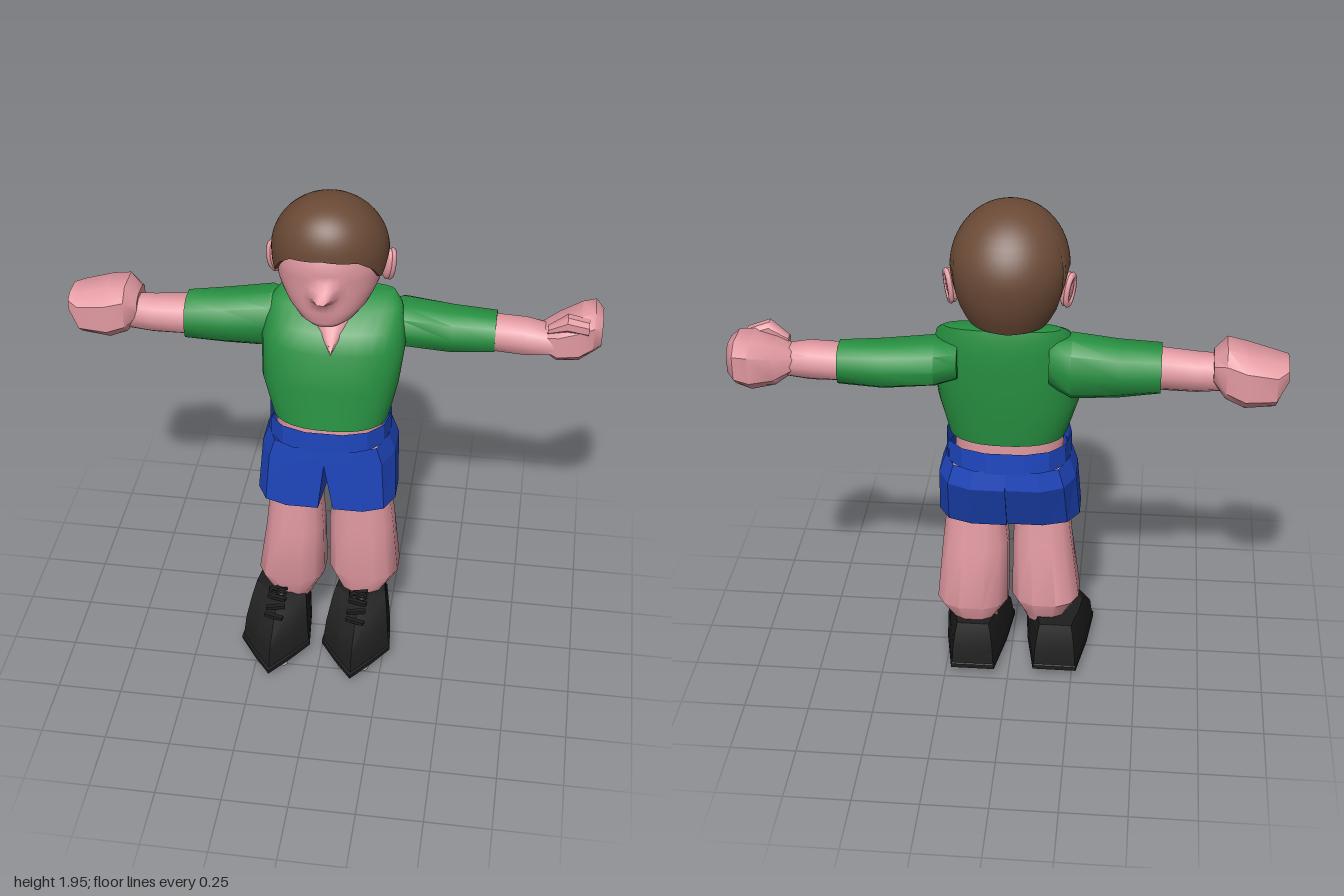
import * as THREE from 'three';
import { toCreasedNormals } from 'three/addons/utils/BufferGeometryUtils.js';

const mat = (name, color, extra = {}) => {
  const m = new THREE.MeshStandardMaterial({ color, ...extra });
  m.name = name;
  return m;
};

// Skins a stack of closed rings (arrays of [x, y, z]); caps close both ends.
function loft(rings, { crease = 0.7, caps = true } = {}) {
  const n = rings[0].length, pos = rings.flat(2), idx = [];
  for (let i = 0; i < rings.length - 1; i++) {
    for (let j = 0; j < n; j++) {
      const a = i * n + j, b = i * n + (j + 1) % n;
      idx.push(a, b, b + n, a, b + n, a + n);
    }
  }
  if (caps) {
    [0, rings.length - 1].forEach((r, end) => {
      const c = pos.length / 3;
      for (let k = 0; k < 3; k++) pos.push(rings[r].reduce((s, p) => s + p[k], 0) / n);
      for (let j = 0; j < n; j++) {
        const a = r * n + j, b = r * n + (j + 1) % n;
        end ? idx.push(c, a, b) : idx.push(c, b, a);
      }
    });
  }
  const g = new THREE.BufferGeometry();
  g.setAttribute('position', new THREE.Float32BufferAttribute(pos, 3));
  g.setIndex(idx);
  g.computeVertexNormals();
  return toCreasedNormals(g, crease);
}

const round = (v, p) => Math.sign(v) * Math.abs(v) ** p;

// Oval rings stacked upward: [y, xMin, xMax, zMin, zMax]
const upright = (rows, n, p = 1) => rows.map(([y, x0, x1, z0, z1]) =>
  Array.from({ length: n }, (_, j) => {
    const a = (j + 0.5) / n * Math.PI * 2;
    return [(x0 + x1) / 2 + (x1 - x0) / 2 * round(Math.sin(a), p), y,
      (z0 + z1) / 2 + (z1 - z0) / 2 * round(Math.cos(a), p)];
  }));

// Oval rings stacked toward +x: [x, yMin, yMax, zMin, zMax]
const sideways = (rows, n, p = 1) => rows.map(([x, y0, y1, z0, z1]) =>
  Array.from({ length: n }, (_, j) => {
    const a = (j + 0.5) / n * Math.PI * 2;
    return [x, (y0 + y1) / 2 + (y1 - y0) / 2 * round(Math.cos(a), p),
      (z0 + z1) / 2 + (z1 - z0) / 2 * round(Math.sin(a), p)];
  }));

export function createModel() {
  const model = new THREE.Group();
  const skin = mat('skin', 0xe39aa2);
  const hairBrown = mat('hair brown', 0x6b4a36, { side: THREE.DoubleSide });
  const green = mat('shirt green', 0x279041);
  const blue = mat('shorts blue', 0x1e46bd, { side: THREE.DoubleSide });
  const black = mat('shoe black', 0x1e1e1e);
  const silver = mat('stud silver', 0xb8b8b8);
  const add = (name, geo, material, parent = model) => {
    const m = new THREE.Mesh(geo, material);
    m.name = name;
    parent.add(m);
    return m;
  };

  // Head, with the nose drawn out of the face
  const headRings = upright([
    [1.495, -.06, .06, -.04, .06], [1.515, -.1, .1, -.1, .07], [1.56, -.145, .145, -.18, .074],
    [1.6, -.167, .167, -.21, .077], [1.62, -.176, .176, -.225, .078], [1.642, -.185, .185, -.24, .08],
    [1.67, -.19, .19, -.25, .082], [1.69, -.194, .194, -.26, .085],
    [1.72, -.197, .197, -.27, .088], [1.82, -.17, .17, -.25, .085], [1.88, -.1, .1, -.2, 0]], 48);
  for (const p of headRings.flat()) {
    if (p[2] > 0) p[2] += 0.095 * Math.max(0, 1 - Math.abs(p[0]) / 0.06) * Math.max(0, 1 - Math.abs(p[1] - 1.642) / 0.048);
  }
  add('head', loft(headRings, { crease: 1.4 }), skin);
  add('neck', loft(upright([
    [1.37, .015, .025, -.03, .054], [1.42, -.03, .065, -.1, .026], [1.48, -.085, .1, -.2, -.02],
    [1.52, -.08, .08, -.18, -.04], [1.58, -.08, .08, -.17, -.03]], 20)), skin);

  // Ears
  for (const s of [1, -1]) {
    const ear = new THREE.Group();
    ear.name = s > 0 ? 'leftEar' : 'rightEar';
    ear.position.set(s * 0.205, 1.66, -0.14);
    ear.rotation.set(0.15, s * 0.35, -s * 0.15);
    model.add(ear);
    add('earBody', new THREE.SphereGeometry(1, 14, 10), skin, ear).scale.set(0.02, 0.065, 0.035);
    const rim = add('earRim', new THREE.TorusGeometry(0.042, 0.011, 6, 18), skin, ear);
    rim.rotation.y = Math.PI / 2;
    rim.scale.set(0.7, 1.3, 1);
    rim.position.x = s * 0.012;
  }

  // Hair: a dome, fuller at the front, whose hem height follows the angle from front to back
  const hem = [[0, 1.79], [.6, 1.775], [.9, 1.73], [1.18, 1.665], [1.4, 1.72], [1.6, 1.745], [1.8, 1.735],
    [1.95, 1.68], [2.02, 1.58], [2.2, 1.535], [3.15, 1.525]];
  const hemAt = (a) => {
    const k = Math.max(1, hem.findIndex((h) => h[0] >= a));
    const [a0, y0] = hem[k - 1], [a1, y1] = hem[k];
    return y0 + (y1 - y0) * (a - a0) / (a1 - a0);
  };
  const hairRings = [], cols = 72, steps = 16;
  for (let i = -1; i <= steps; i++) {
    hairRings.push(Array.from({ length: cols }, (_, j) => {
      const a = j / cols * Math.PI * 2, low = hemAt(Math.min(a, Math.PI * 2 - a));
      const f = Math.max(i, 0) / steps;
      const y = low + (1.952 - low) * Math.sin(f * Math.PI / 2), d = (y - 1.735) / 0.217;
      const e = 2 + 0.3 * Math.max(0, Math.cos(a));
      let r = d > 0 ? Math.max(0, 1 - d ** e) ** (1 / e) : 1 - 0.3 * d * d;
      if (i < 0) r *= 0.85;
      return [0.214 * r * Math.sin(a), y, -0.105 + 0.028 * Math.max(0, d) + 0.208 * r * Math.cos(a)];
    }));
  }
  add('hair', loft(hairRings, { caps: false, crease: 1 }), hairBrown);

  // Shirt body
  add('shirt', loft(upright([
    [1.05, -.21, .23, -.22, .085], [1.2, -.255, .265, -.24, .065], [1.36, -.255, .285, -.245, .045],
    [1.43, -.24, .275, -.245, .005], [1.49, -.225, .262, -.24, -.07], [1.525, -.19, .23, -.23, -.14]],
  28, 0.85), { crease: 0.9 }), green);
  add('waist', loft(upright([[.95, -.2, .21, -.2, .08], [1.052, -.2, .21, -.2, .075]], 20)), skin);

  // Arms: sleeve, forearm and fist, each listed toward +x
  const arms = {
    right: {
      sleeve: [[-.55, 1.28, 1.46, -.25, -.065], [-.4, 1.265, 1.475, -.27, -.075], [-.23, 1.26, 1.5, -.285, -.08],
        [-.15, 1.3, 1.48, -.25, -.1]],
      forearm: [[-.8, 1.3, 1.43, -.22, -.1], [-.68, 1.29, 1.435, -.23, -.09], [-.5, 1.295, 1.45, -.24, -.08]],
      fist: [[-1, 1.36, 1.44, -.25, -.1], [-.96, 1.27, 1.45, -.285, -.075], [-.85, 1.26, 1.48, -.3, -.06],
        [-.78, 1.29, 1.495, -.285, -.065], [-.735, 1.35, 1.45, -.25, -.1]],
    },
    left: {
      sleeve: [[.18, 1.32, 1.46, -.26, -.12], [.26, 1.3, 1.475, -.305, -.09], [.45, 1.28, 1.455, -.295, -.105],
        [.61, 1.29, 1.445, -.285, -.12]],
      forearm: [[.56, 1.3, 1.435, -.275, -.125], [.72, 1.295, 1.435, -.265, -.115], [.85, 1.31, 1.41, -.25, -.12]],
      fist: [[.77, 1.33, 1.41, -.25, -.14], [.84, 1.285, 1.45, -.3, -.11], [.92, 1.28, 1.48, -.34, -.12],
        [.97, 1.31, 1.485, -.355, -.14], [1, 1.33, 1.46, -.31, -.17]],
    },
  };
  for (const [side, parts] of Object.entries(arms)) {
    for (const [part, rows] of Object.entries(parts)) {
      const fist = part === 'fist';
      add(side + part[0].toUpperCase() + part.slice(1),
        loft(sideways(rows, fist ? 8 : 10, fist ? 0.7 : 0.85), { crease: 0.75 }),
        part === 'sleeve' ? green : skin);
    }
  }
  // Curled finger across the left fist
  add('leftThumb', loft(sideways([[.8, 1.41, 1.44, -.17, -.13], [.87, 1.43, 1.495, -.18, -.11],
    [.95, 1.41, 1.47, -.19, -.125]], 8, 0.85)), skin);

  // Shorts: waistband and two flared legs with a narrow notch at the front
  const flat = { crease: 0.1, caps: false };
  add('waistband', loft(upright([[.965, -.23, .24, -.285, .107], [1.05, -.23, .24, -.28, .105]], 14, 0.8), flat), blue);
  // Half outline: [share of width from the middle, share of depth]
  const legOutline = [[0, 1], [.5, 1], [.84, .8], [1, .3], [1, -.35], [.84, -.8], [.5, -1], [0, -1]];
  // Levels: [y, inner x at the front, outer x, zMin, zMax]
  const shortsLeg = (rows, s) => loft(rows.map(([y, xi, xo, z0, z1]) => {
    const ring = legOutline.map(([u, v]) => {
      const inner = v > 0 ? xi : 0.004;
      return [inner + (xo - inner) * u, y, (z0 + z1) / 2 + (z1 - z0) / 2 * v];
    });
    return s > 0 ? ring : ring.reverse();
  }), flat);
  add('rightShortsLeg', shortsLeg([[.7, -.018, -.266, -.2, .108], [.9, .004, -.252, -.288, .104],
    [.975, .004, -.226, -.278, .1]], -1), blue);
  add('leftShortsLeg', shortsLeg([[.7, .04, .27, -.21, .108], [.9, .004, .262, -.292, .104],
    [.975, .004, .236, -.278, .1]], 1), blue);

  // Legs
  add('rightLeg', loft(upright([[.19, -.22, -.055, -.12, .06], [.22, -.225, -.045, -.13, .07],
    [.3, -.272, -.002, -.17, .1], [.55, -.235, -.004, -.12, .1], [.85, -.205, -.025, -.1, .085]], 12, 0.8)), skin);
  add('leftLeg', loft(upright([[.19, .05, .225, -.165, .02], [.22, .05, .235, -.17, .03],
    [.3, .004, .287, -.21, .045], [.55, .006, .265, -.175, .045], [.85, .04, .23, -.14, .04]], 12, 0.8)), skin);

  // Shoes with pointed toes, laces and studs; outline is [x, z] of half a sole
  const half = [[.07, .25], [.138, .15], [.12, -.03], [.085, -.23]];
  const outline = [[0, .34], ...half, ...half.map(([x, z]) => [-x, z]).reverse()];
  // Levels: [y, width, heel z, toe z]
  const levels = [[.033, 1, -.23, .34], [.05, 1, -.23, .34], [.053, .96, -.225, .325], [.13, .9, -.215, .29],
    [.19, .8, -.2, .18], [.222, .72, -.19, .1]];
  for (const [side, x, z] of [['right', -.183, .012], ['left', .14, -.005]]) {
    const shoe = new THREE.Group();
    shoe.name = side + 'Shoe';
    shoe.position.set(x, 0, z);
    model.add(shoe);
    add('upper', loft(levels.map(([y, w, z0, z1]) => outline.map(([px, pz]) =>
      [px * w, y, z0 + (pz + .23) / .57 * (z1 - z0)])), { crease: 0.6 }), black, shoe);
    for (let i = 0; i < 4; i++) {
      const lace = add('lace', new THREE.BoxGeometry(0.075, 0.014, 0.018), black, shoe);
      lace.position.set(0, 0.205 + i * 0.015, 0.19 - i * 0.04);
      lace.rotation.y = i % 2 ? 0.25 : -0.25;
    }
    for (const s of [1, -1]) {
      const bow = add('laceBow', new THREE.TorusGeometry(0.015, 0.006, 5, 12), black, shoe);
      bow.position.set(s * 0.016, 0.245, 0.085);
      for (const [sx, sz] of [[.045, .235], [.075, .11], [.055, -.15]]) {
        add('stud', new THREE.CylinderGeometry(0.02, 0.017, 0.036, 8), silver, shoe).position.set(s * sx, 0.018, sz);
      }
    }
  }
  return model;
}
